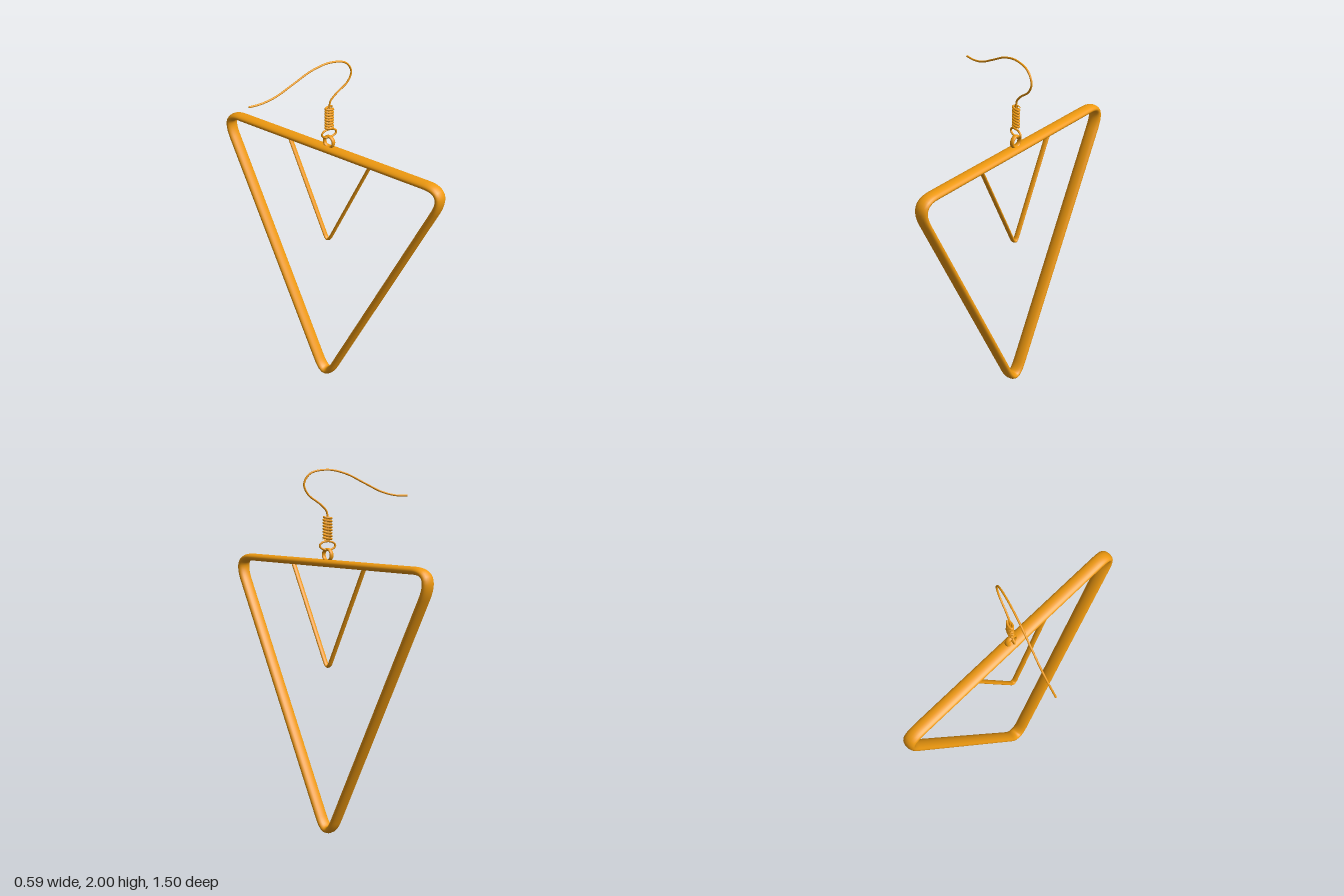
import * as THREE from 'three';

const metal = new THREE.MeshStandardMaterial({ color: 0xf09a10 });
const CENTRE_X = 0.16;

function addMesh(parent, name, geometry) {
  const mesh = new THREE.Mesh(geometry, metal);
  mesh.name = name;
  parent.add(mesh);
  return mesh;
}

// Point in the pendant's own plane (z across, y up)
const p = (z, y) => new THREE.Vector3(0, y, z);

// Path of straight runs joined by rounded corners; each corner is [start, apex, end]
function roundedPath(corners, closed) {
  const path = new THREE.CurvePath();
  corners.forEach(([start, apex, end], i) => {
    path.add(new THREE.QuadraticBezierCurve3(start, apex, end));
    const next = corners[i + 1] || (closed && corners[0]);
    if (next) path.add(new THREE.LineCurve3(end, next[0]));
  });
  return path;
}

// Planar wire whose section is widened along x
function flatWire(path, segments, radius, halfWidth, closed) {
  return new THREE.TubeGeometry(path, segments, radius, 20, closed).scale(halfWidth / radius, 1, 1);
}

export function createModel() {
  const model = new THREE.Group();
  model.name = 'earring';

  const pendant = new THREE.Group();
  pendant.name = 'pendant';
  pendant.position.x = CENTRE_X;
  model.add(pendant);

  // Large rounded triangle
  const outer = roundedPath([
    [p(0.64, 1.5), p(0.775, 1.5), p(0.7045, 1.36)],
    [p(0.06, 0.08), p(0, -0.04), p(-0.06, 0.08)],
    [p(-0.7045, 1.36), p(-0.775, 1.5), p(-0.64, 1.5)],
  ], true);
  addMesh(pendant, 'outerTriangle', flatWire(outer, 300, 0.02, 0.038, true));

  // Thin V hanging from the top bar
  const inner = new THREE.CurvePath();
  inner.add(new THREE.LineCurve3(p(0.282, 1.49), p(0.02, 0.96)));
  inner.add(new THREE.QuadraticBezierCurve3(p(0.02, 0.96), p(0, 0.92), p(-0.02, 0.96)));
  inner.add(new THREE.LineCurve3(p(-0.02, 0.96), p(-0.282, 1.49)));
  addMesh(pendant, 'innerV', flatWire(inner, 160, 0.008, 0.015, false));

  // Ring fixed on the top bar
  const ring = new THREE.TorusGeometry(0.031, 0.007, 12, 40).rotateY(Math.PI / 2).scale(1.8, 1, 1);
  addMesh(pendant, 'hangingRing', ring).position.y = 1.545;

  // Ear hook, turned slightly about the vertical
  const hook = new THREE.Group();
  hook.name = 'earHook';
  hook.position.x = CENTRE_X;
  hook.rotation.y = -0.316;
  model.add(hook);

  const wirePoints = [
    [0, 1.62], [0, 1.75], [0.007, 1.78], [0.042, 1.815], [0.112, 1.867], [0.134, 1.92],
    [0.1, 1.974], [0, 1.995], [-0.11, 1.974], [-0.22, 1.924], [-0.325, 1.877],
    [-0.41, 1.858], [-0.477, 1.856],
  ].map(([x, y]) => new THREE.Vector3(x, y, 0));
  const wire = new THREE.CatmullRomCurve3(wirePoints);
  addMesh(hook, 'hookWire', new THREE.TubeGeometry(wire, 160, 0.0052, 10));
  addMesh(hook, 'wireTip', new THREE.SphereGeometry(0.0052, 10, 8)).position.copy(wirePoints.at(-1));

  // Wound coil, oval in plan
  const turns = 8;
  const coilPoints = [];
  for (let i = 0; i <= turns * 16; i++) {
    const a = (i / 16) * Math.PI * 2;
    coilPoints.push(new THREE.Vector3(
      0.023 * Math.cos(a), 1.622 + 0.125 * i / (turns * 16), 0.011 * Math.sin(a)));
  }
  const coil = new THREE.CatmullRomCurve3(coilPoints);
  addMesh(hook, 'coil', new THREE.TubeGeometry(coil, turns * 28, 0.006, 8));

  // Oval eye linking the hook to the ring
  const eyePoints = [];
  for (let i = 0; i < 24; i++) {
    const a = (i / 24) * Math.PI * 2;
    eyePoints.push(new THREE.Vector3(0.045 * Math.cos(a), 1.595 + 0.023 * Math.sin(a), 0));
  }
  const eye = new THREE.CatmullRomCurve3(eyePoints, true);
  addMesh(hook, 'hookEye', new THREE.TubeGeometry(eye, 64, 0.0055, 10, true));

  return model;
}
